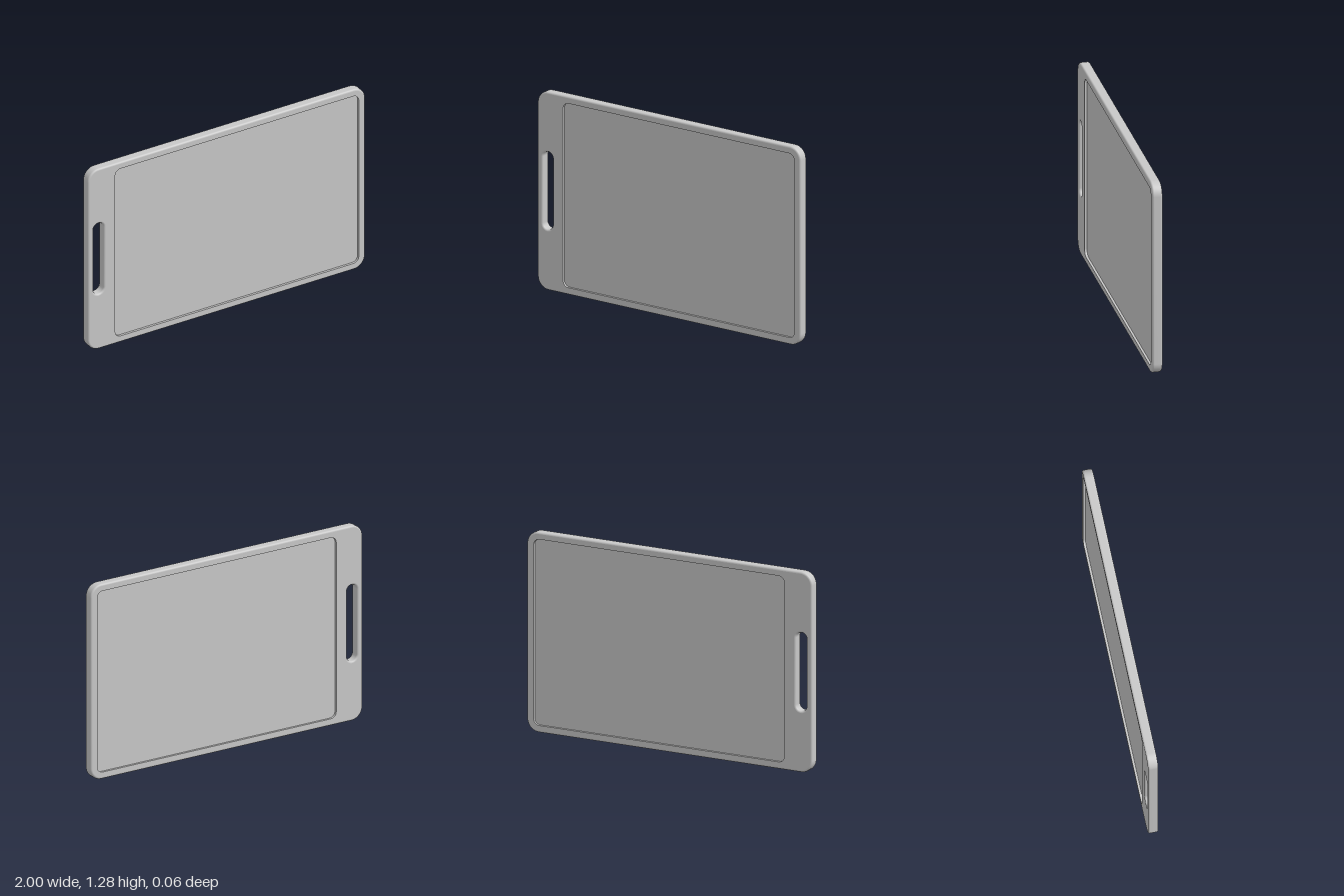
import * as THREE from 'three';

const HALF = 0.032;      // half thickness of the board
const FILLET = 0.012;    // rounding of the outer and slot edges
const DEPTH = 0.015;     // depth of the recessed panels

const BOARD = { x0: -1, x1: 1, y0: 0, y1: 1.28, r: 0.08 };
const SLOT = { x0: -0.96, x1: -0.885, y0: 0.39, y1: 0.892, r: 0.037 };
const RECESS = { x0: -0.805, x1: 0.953, y0: 0.045, y1: 1.235, r: 0.04 };

// Counter-clockwise rounded rectangle; a negative inset enlarges it
function outline({ x0, x1, y0, y1, r }, inset = 0, steps = 10) {
  const corners = [[x1 - r, y0 + r], [x1 - r, y1 - r], [x0 + r, y1 - r], [x0 + r, y0 + r]];
  const points = [];
  corners.forEach(([cx, cy], k) => {
    for (let i = 0; i <= steps; i++) {
      const a = (k - 1 + i / steps) * Math.PI / 2;
      points.push(new THREE.Vector2(cx + (r - inset) * Math.cos(a), cy + (r - inset) * Math.sin(a)));
    }
  });
  return points;
}

// Closed wall through a list of [inset, z] outlines; inward turns it to face the hole
function wall(rect, profile, inward = false) {
  const position = [], index = [];
  let n = 0;
  for (const [inset, z] of profile) {
    const loop = outline(rect, inset);
    n = loop.length;
    for (const p of loop) position.push(p.x, p.y, z);
  }
  for (let j = 0; j < profile.length - 1; j++) {
    for (let i = 0; i < n; i++) {
      const a = j * n + i, b = j * n + (i + 1) % n, c = b + n, d = a + n;
      if (inward) index.push(a, c, b, a, d, c);
      else index.push(a, b, c, a, c, d);
    }
  }
  const geometry = new THREE.BufferGeometry();
  geometry.setAttribute('position', new THREE.Float32BufferAttribute(position, 3));
  geometry.setIndex(index);
  geometry.computeVertexNormals();
  return geometry;
}

// Flat face at height z, with optional holes
function face(points, holes, z) {
  const shape = new THREE.Shape(points);
  holes.forEach((h) => shape.holes.push(new THREE.Path(h)));
  return new THREE.ShapeGeometry(shape).translate(0, 0, z);
}

// Copy of a geometry on the other side of the board
function mirrorZ(geometry) {
  const copy = geometry.clone().scale(1, 1, -1);
  copy.setIndex(Array.from(geometry.index.array).reverse());
  copy.computeVertexNormals();
  return copy;
}

// Edge profile with a quarter round at the front and at the back
function roundedEdge(sign) {
  const profile = [];
  for (const side of [-1, 1]) {
    for (let i = 0; i <= 5; i++) {
      const a = (side < 0 ? 5 - i : i) / 5 * Math.PI / 2;
      profile.push([sign * FILLET * (1 - Math.cos(a)), side * (HALF - FILLET + FILLET * Math.sin(a))]);
    }
  }
  return profile;
}

export function createModel() {
  const group = new THREE.Group();
  group.name = 'cuttingBoard';
  const material = new THREE.MeshStandardMaterial({ color: 0xc8c8c8 });
  material.name = 'lightGrey';

  const add = (name, geometry) => {
    const mesh = new THREE.Mesh(geometry, material);
    mesh.name = name;
    group.add(mesh);
  };

  // Outer rim and handle slot
  add('outerEdge', wall(BOARD, roundedEdge(1)));
  add('handleSlot', wall(SLOT, roundedEdge(-1), true));

  // Faces and recessed panels, the same on both sides
  const sides = {
    Rim: face(outline(BOARD, FILLET), [outline(SLOT, -FILLET), outline(RECESS)], HALF),
    RecessWall: wall(RECESS, [[0, HALF - DEPTH], [0, HALF]], true),
    Panel: face(outline(RECESS), [], HALF - DEPTH),
  };
  for (const [name, geometry] of Object.entries(sides)) {
    add('front' + name, geometry);
    add('back' + name, mirrorZ(geometry));
  }
  return group;
}
